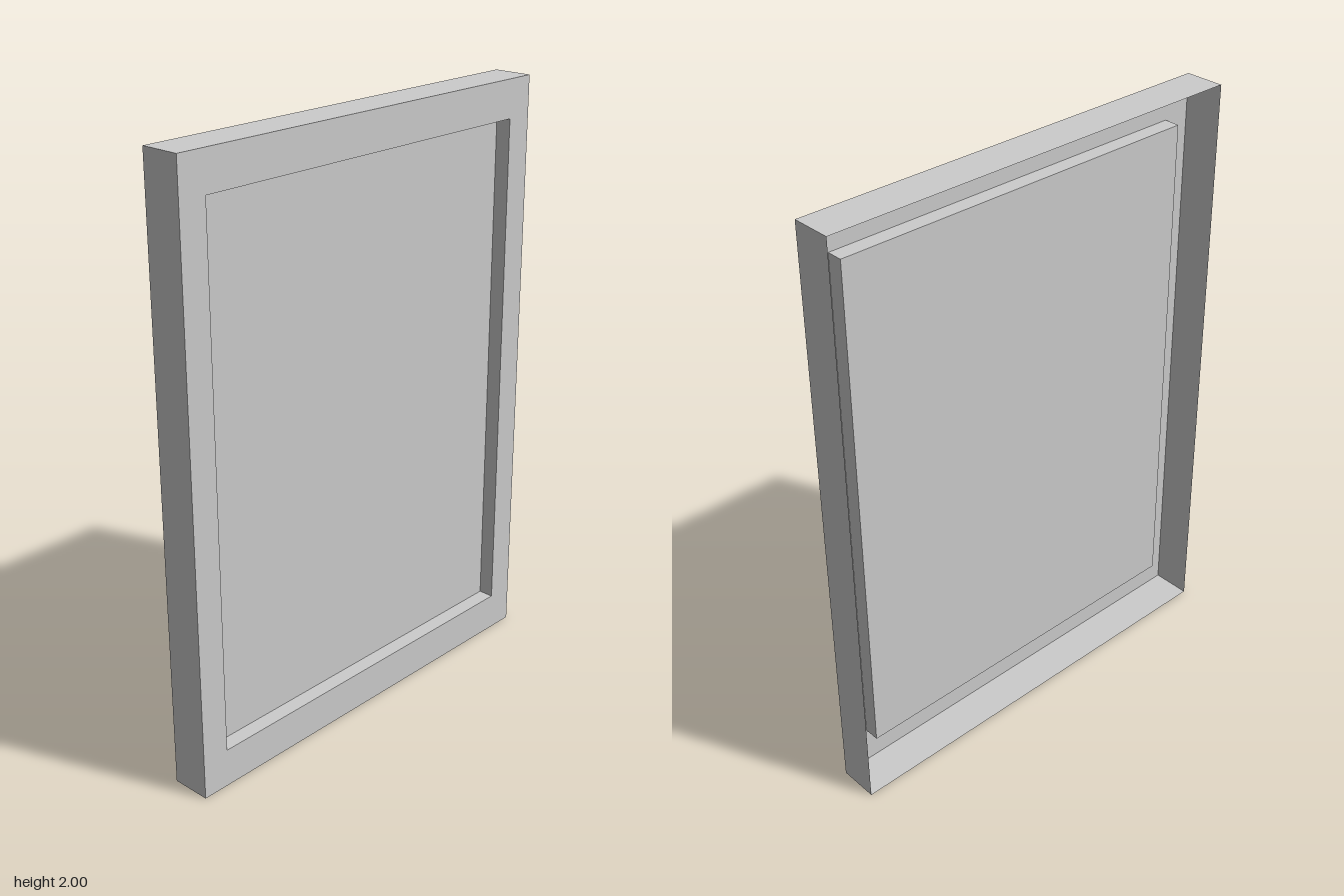
import * as THREE from 'three';

const W = 1.5, H = 2, D = 0.134;            // outer shell
const PW = 1.31, PH = 1.744, RECESS = 0.053; // sunken panel
const FRONT = D / 2;

const material = new THREE.MeshStandardMaterial({
  color: 0xcccccc, side: THREE.DoubleSide, flatShading: true,
});

function add(parent, name, geometry, x = 0, y = 0, z = 0) {
  const mesh = new THREE.Mesh(geometry, material);
  mesh.name = name;
  mesh.position.set(x, y, z);
  parent.add(mesh);
  return mesh;
}

// Four thin walls around a rectangle, running back from the front plane.
// facing = 1 turns them outward, -1 inward.
function wallRing(name, w, h, depth, facing) {
  const ring = new THREE.Group();
  ring.name = name;
  const z = FRONT - depth / 2;
  for (const s of [1, -1]) {
    add(ring, s > 0 ? 'leftWall' : 'rightWall', new THREE.PlaneGeometry(depth, h), s * w / 2, 0, z)
      .rotation.y = s * facing * Math.PI / 2;
    add(ring, s > 0 ? 'topWall' : 'bottomWall', new THREE.PlaneGeometry(w, depth), 0, s * h / 2, z)
      .rotation.x = -s * facing * Math.PI / 2;
  }
  return ring;
}

function rectangle(target, w, h) {
  return target.setFromPoints([[-1, -1], [1, -1], [1, 1], [-1, 1]]
    .map(([x, y]) => new THREE.Vector2(x * w / 2, y * h / 2)));
}

export function createModel() {
  const model = new THREE.Group();
  model.name = 'framedPanel';
  const body = new THREE.Group();
  body.name = 'panelShell';
  body.position.y = H / 2;
  model.add(body);

  // Front border with the panel opening
  const border = rectangle(new THREE.Shape(), W, H);
  border.holes.push(rectangle(new THREE.Path(), PW, PH));
  add(body, 'frontBorder', new THREE.ShapeGeometry(border), 0, 0, FRONT);

  // Outer rim, open at the back, and the sides of the recess
  body.add(wallRing('outerRim', W, H, D, 1));
  body.add(wallRing('recessSides', PW, PH, RECESS, -1));

  // Sunken panel
  add(body, 'sunkenPanel', new THREE.PlaneGeometry(PW, PH), 0, 0, FRONT - RECESS);
  return model;
}
